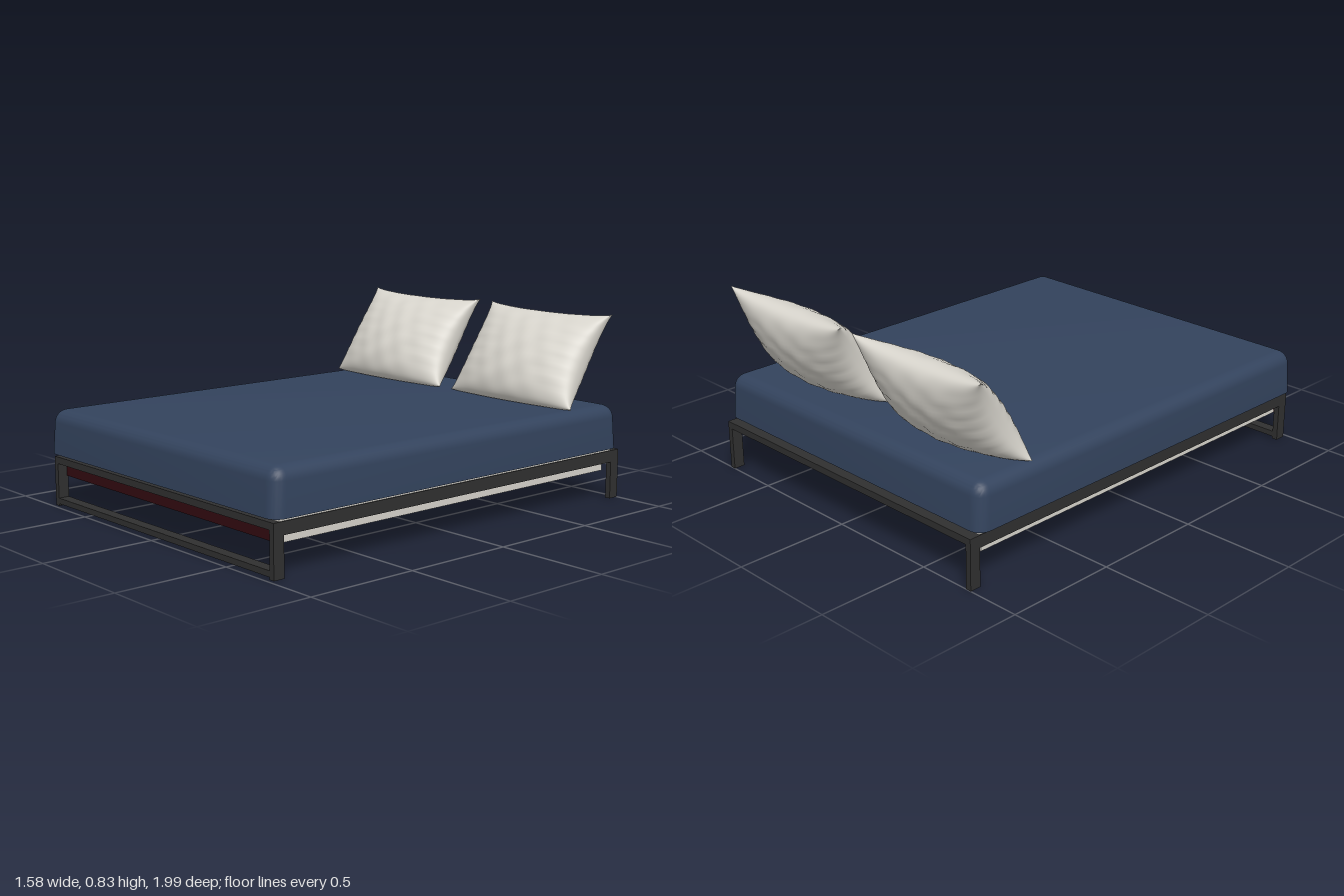
import * as THREE from 'three';
import { mergeGeometries, mergeVertices, toCreasedNormals } from 'three/addons/utils/BufferGeometryUtils.js';
import { RoundedBoxGeometry } from 'three/addons/geometries/RoundedBoxGeometry.js';

const mat = (name, color) => {
  const m = new THREE.MeshStandardMaterial({ color });
  m.name = name;
  return m;
};

export function createModel() {
  const bed = new THREE.Group();
  bed.name = 'bed';
  const metal = mat('dark metal', 0x303030);
  const navy = mat('navy cover', 0x33435d);
  const linen = mat('off-white linen', 0xd9d6ce);
  const maroon = mat('maroon panel', 0x330a10);

  const add = (name, geometry, material) => {
    const mesh = new THREE.Mesh(geometry, material);
    mesh.name = name;
    bed.add(mesh);
    return mesh;
  };
  // Box given by its extents along each axis
  const box = (name, material, [x0, x1], [y0, y1], [z0, z1]) =>
    add(name, new THREE.BoxGeometry(x1 - x0, y1 - y0, z1 - z0), material)
      .position.set((x0 + x1) / 2, (y0 + y1) / 2, (z0 + z1) / 2);

  // Steel frame: legs and rails
  for (const s of [-1, 1]) {
    const xs = s < 0 ? [-0.765, -0.74] : [0.74, 0.765];
    box('frontLeg', metal, xs, [0, 0.22], [0.93, 0.98]);
    box('backLeg', metal, xs, [0, 0.22], [-1, -0.95]);
    box('sideRail', metal, xs, [0.167, 0.22], [-0.95, 0.93]);
  }
  box('frontRail', metal, [-0.74, 0.74], [0.19, 0.22], [0.93, 0.98]);
  box('frontFootRail', metal, [-0.74, 0.74], [0.01, 0.035], [0.93, 0.98]);
  box('backRail', metal, [-0.74, 0.74], [0.19, 0.22], [-1, -0.95]);

  // Upholstered base with its coloured end panel
  box('base', linen, [-0.738, 0.738], [0.13, 0.22], [-0.92, 0.928]);
  box('basePlatform', linen, [-0.76, 0.76], [0.22, 0.238], [-0.95, 0.95]);
  box('baseEndPanel', maroon, [-0.74, 0.74], [0.13, 0.19], [0.928, 0.936]);

  // Mattress: rounded box cut flat at the bottom, flaring slightly downwards
  const mattress = new RoundedBoxGeometry(1.56, 0.34, 1.945, 5, 0.055);
  const mp = mattress.attributes.position;
  for (let i = 0; i < mp.count; i++) {
    const y = Math.max(mp.getY(i) + 0.26, 0.235);
    const flare = 1 + 0.012 * (0.43 - y) / 0.195;
    mp.setXYZ(i, mp.getX(i) * flare, y, mp.getZ(i) * flare + 0.01);
  }
  add('mattress', toCreasedNormals(mattress, 0.7), navy);

  // Pillow: two bulging sheets on a leaning seam, pinched to pointed corners
  const pillowGeometry = () => {
    const sheets = [1, -1].map((side) => {
      const g = new THREE.PlaneGeometry(2, 2, 48, 36);
      const p = g.attributes.position;
      for (let i = 0; i < p.count; i++) {
        // Crowd the grid towards the seam, where the curvature is greatest
        const u = Math.sin(p.getX(i) * Math.PI / 2) * side;
        const v = Math.sin(p.getY(i) * Math.PI / 2);
        const eu = Math.max(0, 1 - u * u), ev = Math.max(0, 1 - v * v);
        const waist = 0.365 - 0.045 * Math.pow(ev, 0.6);
        const fold = 0.005 * Math.sin(9 * v + 4 * u) * Math.sin(13 * u - 3 * v) * eu
          + 0.006 * Math.sin(24 * v + 3 * u) * u * u * ev;
        const full = side > 0 ? 0.118 : 0.135 - 0.03 * v;
        const t = side * (full * Math.pow(eu, 0.4) * Math.pow(ev, 0.5) + fold * Math.sqrt(eu * ev));
        const s = (v + 1) / 2;
        const sag = 0.028 * Math.pow(eu, 0.6) * s * s;
        const y = 0.435 + 0.395 * s - sag + 0.55 * t;
        const z = -0.675 - 0.265 * s + 0.83 * t + 0.03 * eu * (1 - s) * (1 - s);
        p.setXYZ(i, u * waist, Math.max(y, 0.431), z);
      }
      g.deleteAttribute('uv');
      g.deleteAttribute('normal');
      return g;
    });
    const g = mergeVertices(mergeGeometries(sheets), 1e-4);
    g.computeVertexNormals();
    return g;
  };
  const pillow = pillowGeometry();
  add('rightPillow', pillow, linen).position.x = -0.405;
  add('leftPillow', pillow, linen).position.x = 0.395;

  return bed;
}
